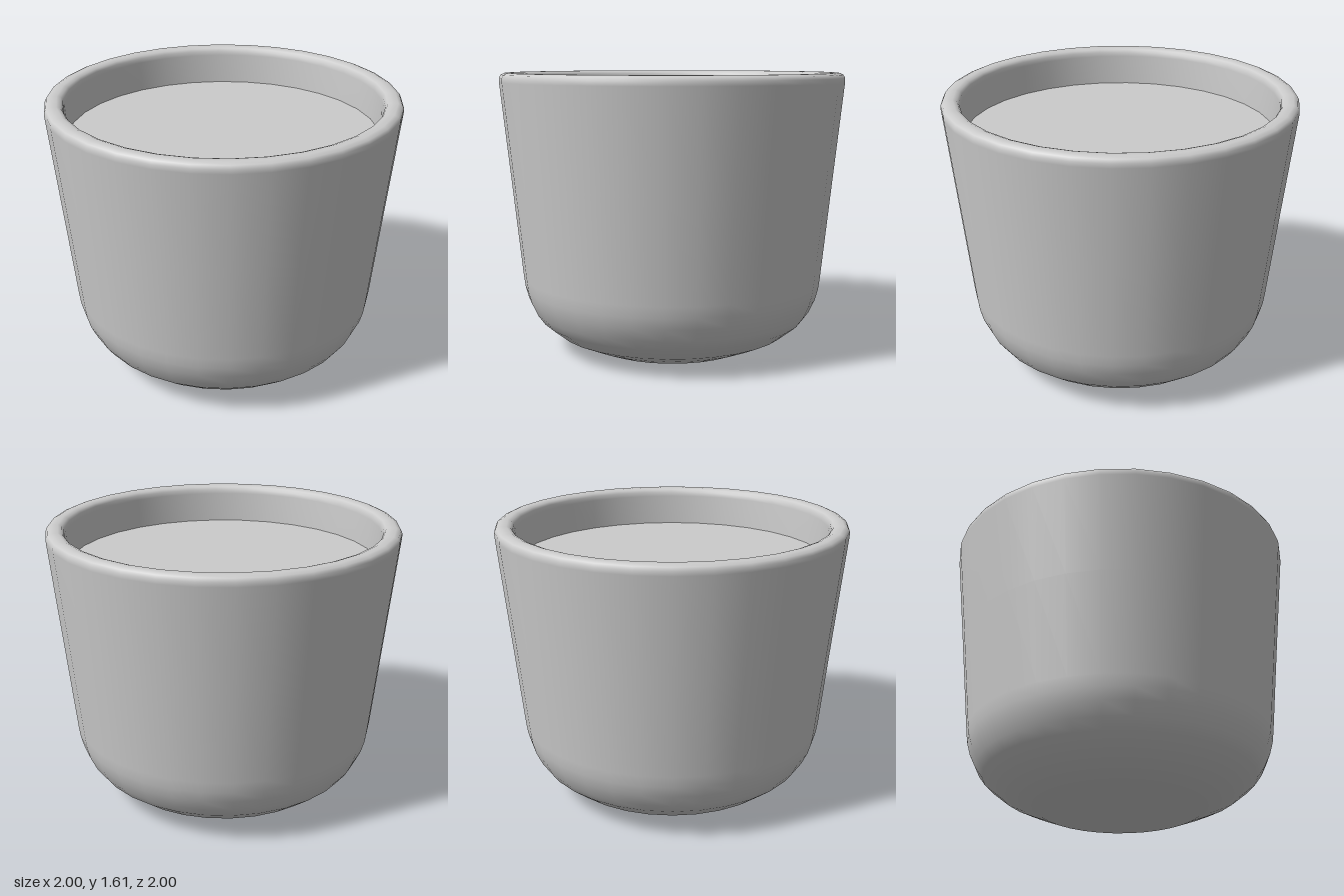
import * as THREE from 'three';

const SEGMENTS = 32;
const TURN = 0.02; // slight twist of the facets around y

export function createModel() {
  const group = new THREE.Group();
  group.name = 'planter';
  const material = new THREE.MeshStandardMaterial({ color: 0xcccccc });

  // Pot: closed base, rounded belly, flared wall, soft rim and inner wall
  const profile = [
    [0, 0], [0.25, 0], [0.47, 0], [0.58, 0.045], [0.68, 0.09], [0.78, 0.17],
    [0.82, 0.225], [0.855, 0.3], [0.873, 0.365], [0.882, 0.43],
    [0.94, 1.0], [0.998, 1.56], [0.998, 1.585], [0.988, 1.603], [0.965, 1.613],
    [0.93, 1.613], [0.908, 1.605], [0.897, 1.59], [0.893, 1.565],
    [0.884, 1.39], [0.88, 1.3],
  ].map(([r, y]) => new THREE.Vector2(r, y));
  const pot = new THREE.Mesh(new THREE.LatheGeometry(profile, SEGMENTS, TURN), material);
  pot.name = 'pot';

  // Flat soil surface a little below the rim
  const soilGeometry = new THREE.CircleGeometry(0.885, SEGMENTS);
  soilGeometry.rotateX(-Math.PI / 2).rotateY(TURN);
  const soil = new THREE.Mesh(soilGeometry, material);
  soil.name = 'soil';
  soil.position.y = 1.39;

  group.add(pot, soil);
  return group;
}
